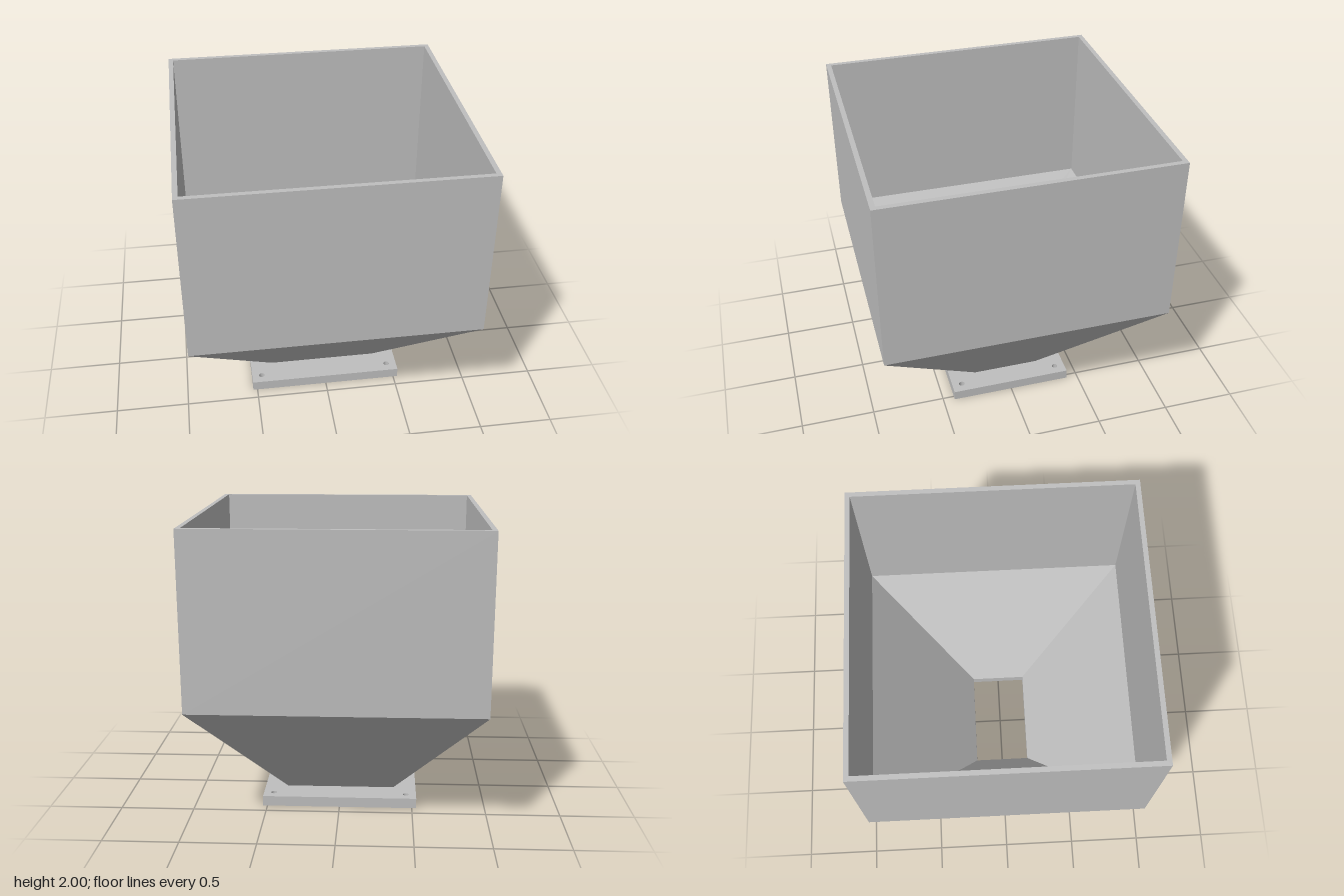
import * as THREE from 'three';

const CORNERS = [[1, 1], [1, -1], [-1, -1], [-1, 1]];

// Joins rectangular rings [halfX, y, halfZ] with flat-sided quads
function loftRectangles(rings) {
  const positions = [];
  const point = ([hx, y, hz], j) => [CORNERS[j % 4][0] * hx, y, CORNERS[j % 4][1] * hz];
  for (let i = 0; i < rings.length - 1; i++) {
    for (let j = 0; j < 4; j++) {
      const a = point(rings[i], j), b = point(rings[i], j + 1);
      const c = point(rings[i + 1], j + 1), d = point(rings[i + 1], j);
      positions.push(...a, ...b, ...c, ...a, ...c, ...d);
    }
  }
  const geometry = new THREE.BufferGeometry();
  geometry.setAttribute('position', new THREE.Float32BufferAttribute(positions, 3));
  geometry.computeVertexNormals();
  return geometry;
}

function rectangle(path, hx, hz) {
  path.moveTo(-hx, -hz);
  path.lineTo(hx, -hz);
  path.lineTo(hx, hz);
  path.lineTo(-hx, hz);
  path.closePath();
  return path;
}

export function createModel() {
  const group = new THREE.Group();
  group.name = 'hopper';
  const steel = new THREE.MeshStandardMaterial({ color: 0xbfbfbf });
  steel.name = 'steel grey';

  const flangeTop = 0.07;

  // Hopper shell: up the outside, over the rim, down the inside
  const shell = new THREE.Mesh(loftRectangles([
    [0.373, flangeTop, 0.228],
    [0.95, 0.845, 0.95],
    [0.95, 2, 0.95],
    [0.918, 2, 0.918],
    [0.918, 0.855, 0.918],
    [0.34, flangeTop, 0.197],
  ]), steel);
  shell.name = 'hopperShell';
  group.add(shell);

  // Outlet flange with its opening and four bolt holes
  const shape = rectangle(new THREE.Shape(), 0.53, 0.42);
  shape.holes.push(rectangle(new THREE.Path(), 0.34, 0.197));
  for (const [sx, sz] of CORNERS) {
    shape.holes.push(new THREE.Path().absarc(sx * 0.46, sz * 0.35, 0.02, 0, Math.PI * 2, true));
  }
  const flangeGeometry = new THREE.ExtrudeGeometry(shape, {
    depth: flangeTop, bevelEnabled: false, curveSegments: 16,
  });
  flangeGeometry.rotateX(-Math.PI / 2);
  const flange = new THREE.Mesh(flangeGeometry, steel);
  flange.name = 'outletFlange';
  group.add(flange);

  return group;
}
